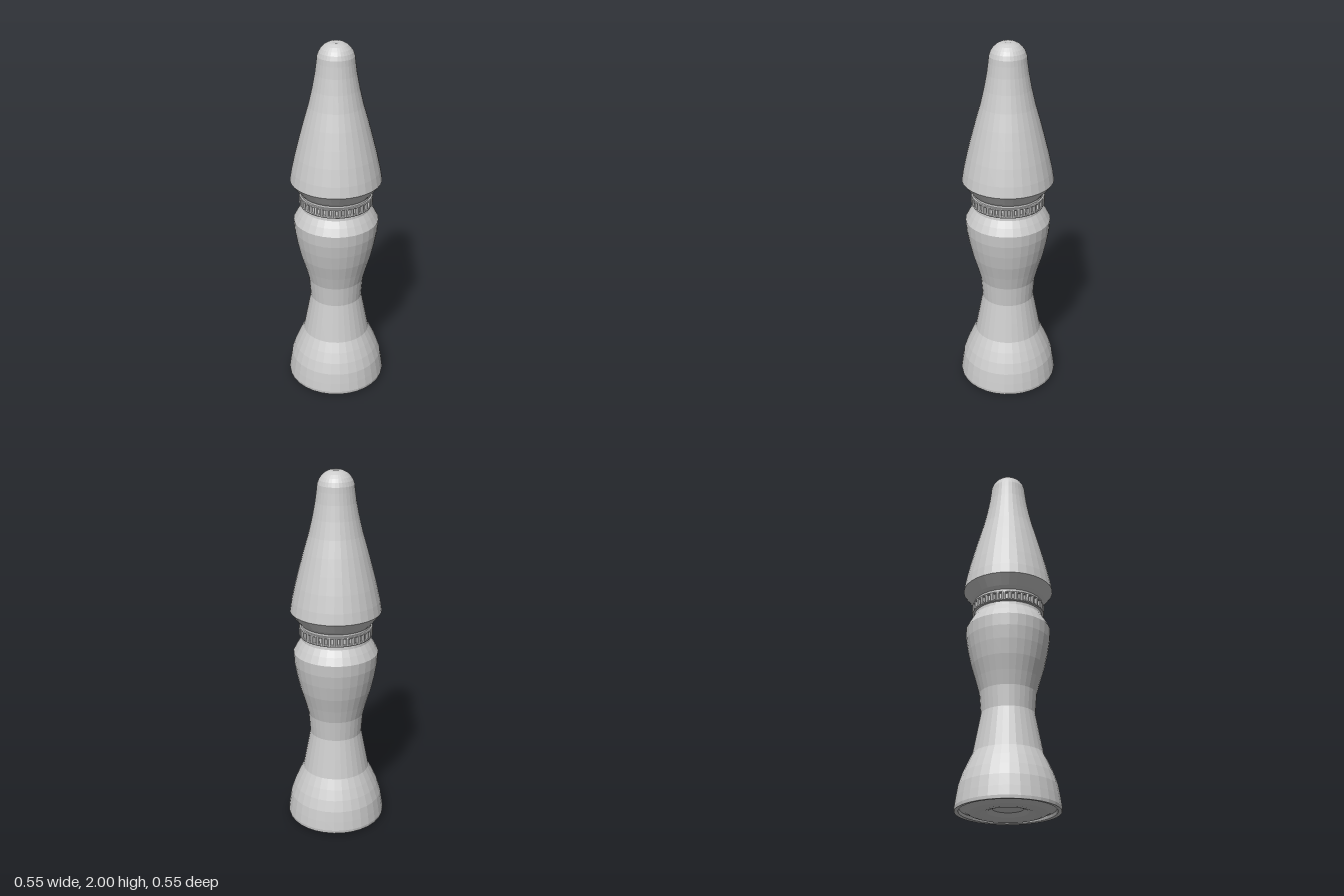
import * as THREE from 'three';

const SIDES = 32;
const material = new THREE.MeshStandardMaterial({ color: 0xcccccc, flatShading: true, side: THREE.DoubleSide });

// Faceted turned part from [radius, height] pairs
function turned(name, profile) {
  const points = profile.map(([r, y]) => new THREE.Vector2(r, y));
  const mesh = new THREE.Mesh(new THREE.LatheGeometry(points, SIDES), material);
  mesh.name = name;
  return mesh;
}

export function createModel() {
  const model = new THREE.Group();
  model.name = 'turnedPeg';

  // Underside: rim, shallow groove, raised ring and sunken centre
  model.add(turned('underside', [
    [0, 0.03], [0.08, 0.03], [0.105, 0.012], [0.14, 0.002], [0.175, 0],
    [0.2, 0.008], [0.225, 0.022], [0.247, 0.03], [0.252, 0.015], [0.272, 0.013],
  ]));

  // Flared foot and waist
  model.add(turned('foot', [
    [0.272, 0.013], [0.274, 0.03], [0.267, 0.08], [0.257, 0.14], [0.237, 0.2],
    [0.213, 0.255], [0.186, 0.31], [0.165, 0.42], [0.144, 0.53],
  ]));

  // Waist, bulging body and sloped shoulder
  model.add(turned('body', [
    [0.144, 0.53], [0.153, 0.645], [0.173, 0.72], [0.197, 0.8], [0.215, 0.88],
    [0.227, 0.95], [0.231, 1.015], [0.21, 1.055], [0.188, 1.09],
  ]));

  // Neck behind the beads, with a thin lip above and below
  model.add(turned('neck', [
    [0.188, 1.09], [0.186, 1.108], [0.197, 1.11], [0.199, 1.115], [0.197, 1.12], [0.189, 1.122],
    [0.189, 1.152], [0.197, 1.154], [0.199, 1.159], [0.197, 1.164], [0.19, 1.166], [0.19, 1.178],
  ]));

  // Ring of small upright beads
  const beads = new THREE.Group();
  beads.name = 'beadRing';
  const beadGeometry = new THREE.CylinderGeometry(0.011, 0.011, 0.04, 8);
  for (let i = 0; i < 36; i++) {
    const a = (i / 36) * Math.PI * 2;
    const bead = new THREE.Mesh(beadGeometry, material);
    bead.name = 'bead';
    bead.position.set(Math.sin(a) * 0.189, 1.137, Math.cos(a) * 0.189);
    bead.rotation.y = a;
    beads.add(bead);
  }
  model.add(beads);

  // Tall tapering cone with undercut brim
  model.add(turned('cone', [
    [0.19, 1.178], [0.205, 1.195], [0.247, 1.25], [0.237, 1.31], [0.217, 1.4], [0.194, 1.49],
    [0.17, 1.58], [0.144, 1.67], [0.123, 1.76], [0.108, 1.84], [0.1, 1.9], [0.097, 1.93],
  ]));

  // Rounded tip with a slight dimple
  model.add(turned('tip', [
    [0.097, 1.93], [0.089, 1.952], [0.077, 1.97], [0.06, 1.986], [0.04, 1.997],
    [0.022, 2], [0, 1.996],
  ]));

  return model;
}
